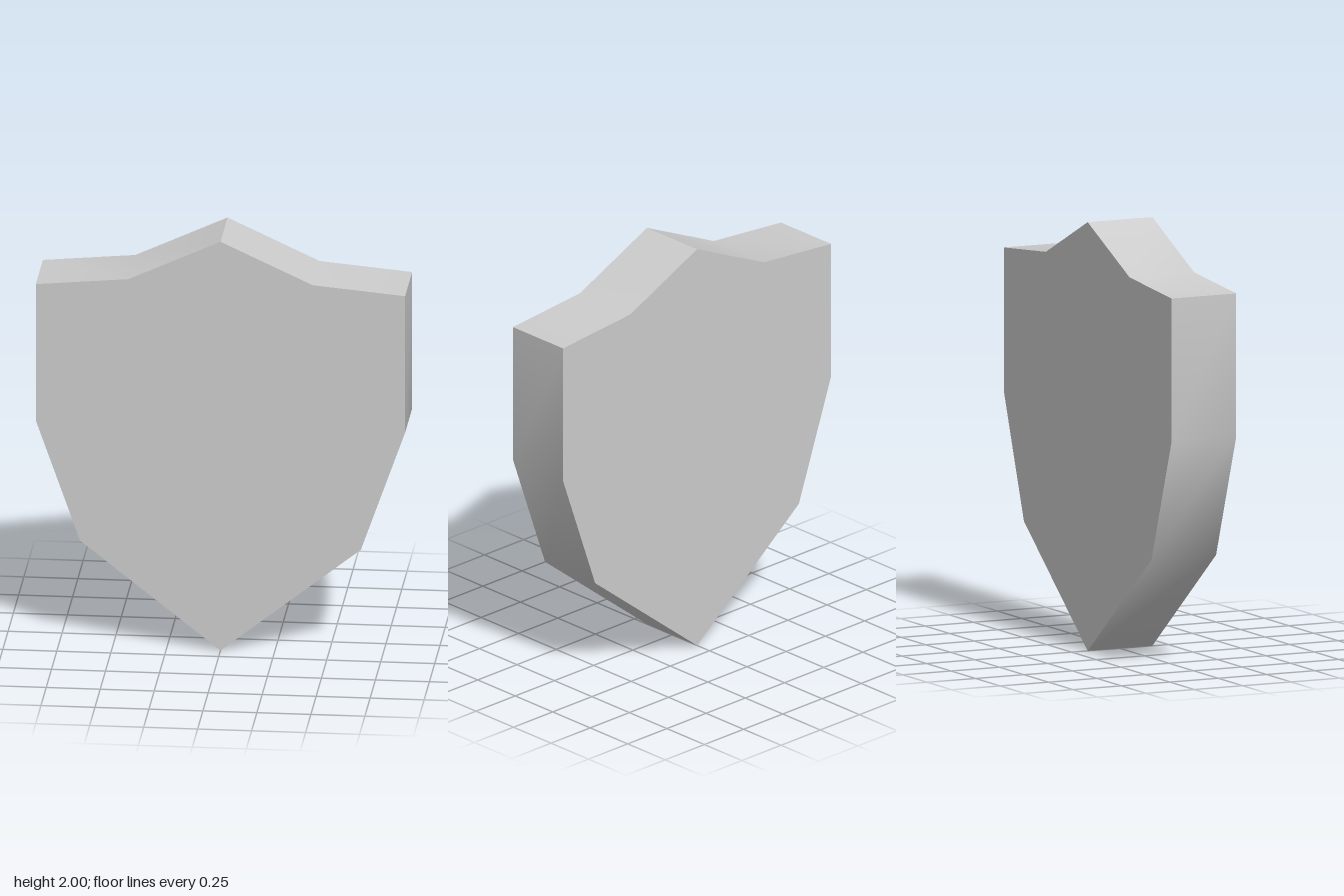
import * as THREE from 'three';
import { toCreasedNormals } from 'three/addons/utils/BufferGeometryUtils.js';

const DEPTH = 0.334;

// Right-hand half of the outline, from the bottom tip up to the top peak
const HALF = [[0, 0], [0.65, 0.515], [0.855, 1.095], [0.855, 1.763], [0.427, 1.802], [0, 2]];

export function createModel() {
  const group = new THREE.Group();
  group.name = 'shield';

  // Mirror the half outline, leaving out the two points on the centre line
  const mirrored = HALF.slice(1, -1).reverse().map(([x, y]) => [-x, y]);
  const outline = [...HALF, ...mirrored].map(([x, y]) => new THREE.Vector2(x, y));

  // Solid slab: soft bends along the rim, sharp peak, corners, tip and face edges
  const slab = new THREE.ExtrudeGeometry(new THREE.Shape(outline), { depth: DEPTH, bevelEnabled: false });
  slab.translate(0, 0, -DEPTH / 2);
  const geometry = toCreasedNormals(slab, THREE.MathUtils.degToRad(40));

  const body = new THREE.Mesh(geometry, new THREE.MeshStandardMaterial({ color: 0xcccccc }));
  body.name = 'shieldBody';
  group.add(body);
  return group;
}
